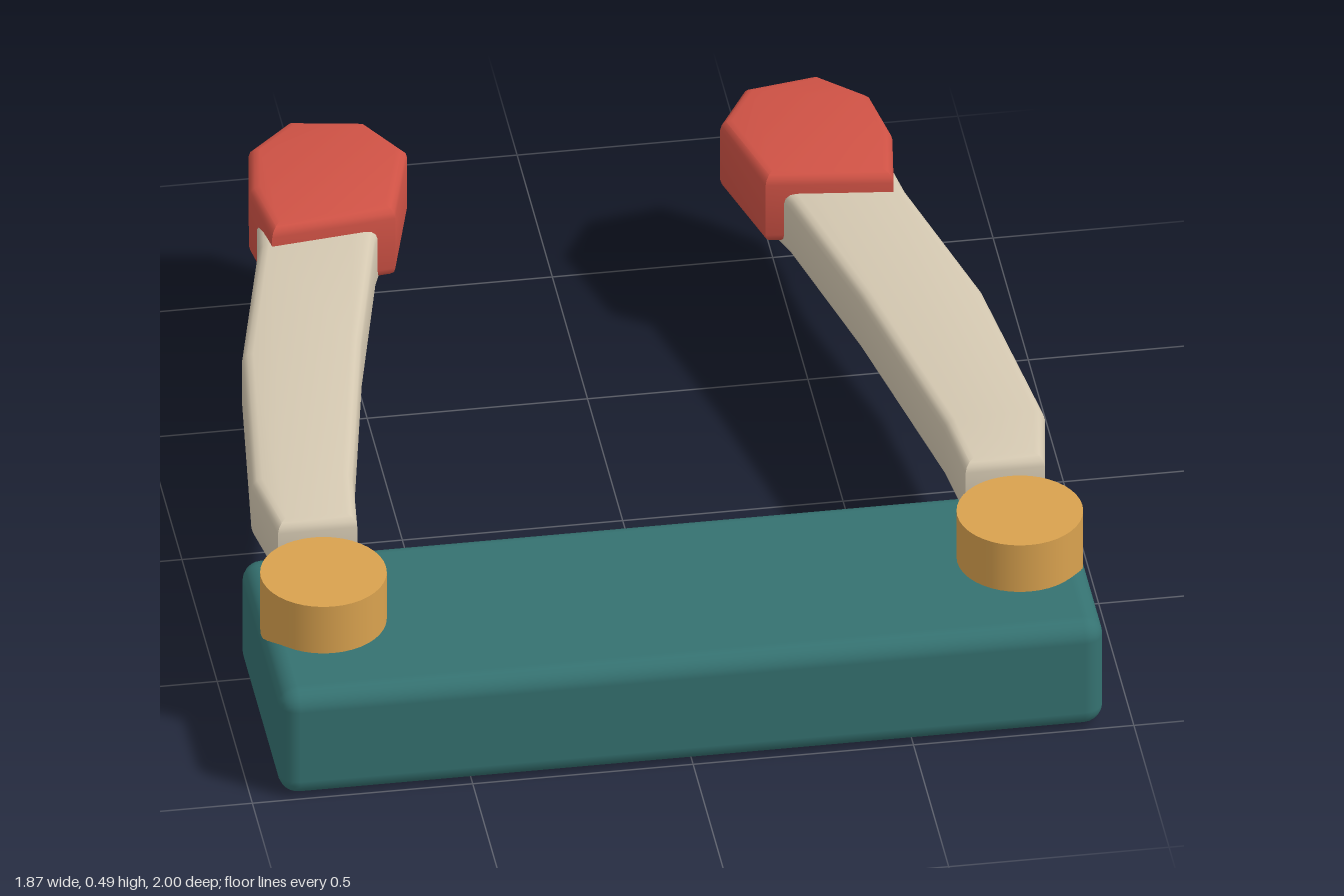
import * as THREE from 'three';
import { toCreasedNormals } from 'three/addons/utils/BufferGeometryUtils.js';
import { RoundedBoxGeometry } from 'three/addons/geometries/RoundedBoxGeometry.js';

const mat = (name, color) => {
  const m = new THREE.MeshStandardMaterial({ color });
  m.name = name;
  return m;
};

// Bevelled slab from a plan outline of [x, z] points, between two heights
function slab(points, side, bottom, top, bevel) {
  const shape = new THREE.Shape(points.map(([x, z]) => new THREE.Vector2(x * side, z)));
  const geo = new THREE.ExtrudeGeometry(shape, {
    depth: top - bottom - 2 * bevel,
    bevelThickness: bevel, bevelSize: bevel, bevelOffset: -bevel, bevelSegments: 3,
  });
  geo.rotateX(Math.PI / 2).translate(0, top - bevel, 0);
  return toCreasedNormals(geo, 0.6);
}

// Plan outlines for the left (+x) side
const ARM = [
  [0.69, 0.55], [0.87, 0.55], [0.90, 0.36], [0.84, -0.15], [0.735, -0.58], [0.715, -0.72],
  [0.69, -0.85], [0.60, -0.95], [0.45, -0.93], [0.38, -0.82], [0.47, -0.57], [0.565, -0.17], [0.67, 0.37],
];
const HAND = [
  [0.705, -0.565], [0.73, -0.74], [0.705, -0.90], [0.60, -1.0],
  [0.43, -0.97], [0.355, -0.84], [0.42, -0.60],
];

export function createModel() {
  const group = new THREE.Group();
  const teal = mat('teal', 0x357271);
  const amber = mat('amber', 0xd9a24f);
  const cream = mat('cream', 0xd4c8b1);
  const red = mat('red', 0xcf5245);

  const add = (name, geo, material) => {
    const mesh = new THREE.Mesh(geo, material);
    mesh.name = name;
    group.add(mesh);
    return mesh;
  };

  // Base block
  add('base', new RoundedBoxGeometry(1.87, 0.275, 0.59, 3, 0.045), teal).position.set(0, 0.1375, 0.705);

  // Pivot, arm and hand on each side
  for (const [label, side] of [['left', 1], ['right', -1]]) {
    add(label + 'Pivot', new THREE.CylinderGeometry(0.142, 0.142, 0.17, 40), amber)
      .position.set(0.79 * side, 0.315, 0.695);
    add(label + 'Arm', slab(ARM, side, 0.285, 0.44, 0.025), cream);
    add(label + 'Hand', slab(HAND, side, 0.305, 0.488, 0.025), red);
  }
  return group;
}
